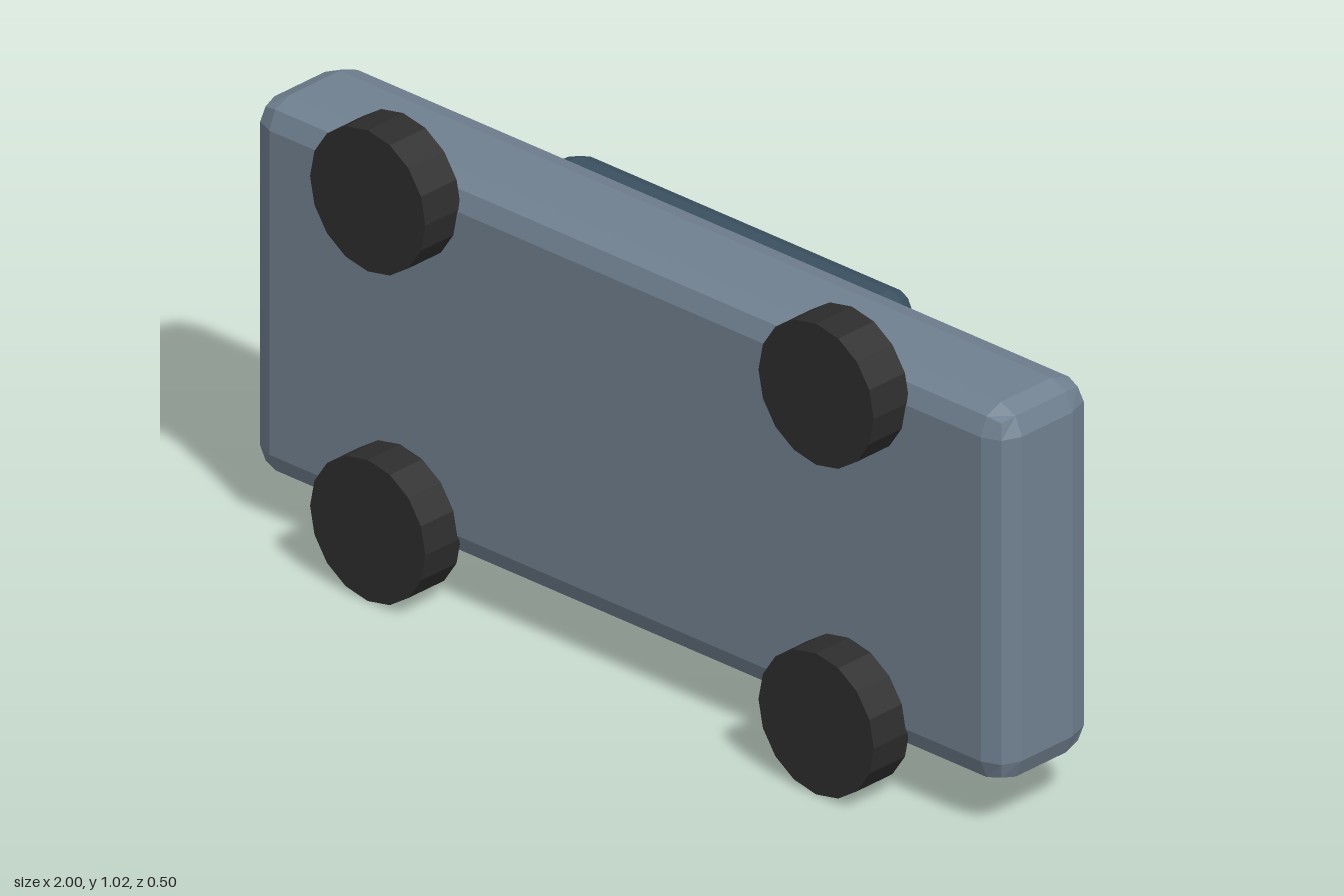
import * as THREE from 'three';
import { RoundedBoxGeometry } from 'three/addons/geometries/RoundedBoxGeometry.js';

function material(name, color) {
  const m = new THREE.MeshStandardMaterial({ color, flatShading: true });
  m.name = name;
  return m;
}

// Softened box given by its minimum and maximum corners
function softBox(min, max, radius) {
  const size = max.map((v, i) => v - min[i]);
  const geometry = new RoundedBoxGeometry(size[0], size[1], size[2], 1, radius);
  geometry.translate(...max.map((v, i) => (v + min[i]) / 2));
  return geometry;
}

export function createModel() {
  const car = new THREE.Group();
  car.name = 'car';

  const paint = material('slate paint', 0x708090);
  const glass = material('dark blue cabin', 0x3a5060);
  const rubber = material('black rubber', 0x2d2d2d);

  function add(name, geometry, mat) {
    const mesh = new THREE.Mesh(geometry, mat);
    mesh.name = name;
    car.add(mesh);
    return mesh;
  }

  // Body, with the bevel stretched a little on its back side
  const radius = 0.056, back = -0.097;
  const bodyGeometry = softBox([-1, 0.105, back], [1, 0.92, 0.157], radius);
  const p = bodyGeometry.attributes.position;
  for (let i = 0; i < p.count; i++) {
    const past = p.getZ(i) - (back + radius);
    if (past < 0) p.setZ(i, back + radius + past * 1.25);
  }
  bodyGeometry.computeVertexNormals();
  add('body', bodyGeometry, paint);

  // Cabin, sunk into the body
  add('cabin', softBox([-0.505, 0.18, -0.247], [0.405, 0.845, 0], 0.044), glass);

  // Four wheels
  const wheelGeometry = new THREE.CylinderGeometry(0.153, 0.153, 0.1, 16);
  wheelGeometry.rotateX(Math.PI / 2);
  for (const x of [-0.597, 0.593]) {
    for (const y of [0.153, 0.868]) {
      const end = x > 0 ? 'left' : 'right';
      add(`${end}${y > 0.5 ? 'Upper' : 'Lower'}Wheel`, wheelGeometry, rubber).position.set(x, y, 0.198);
    }
  }
  return car;
}
